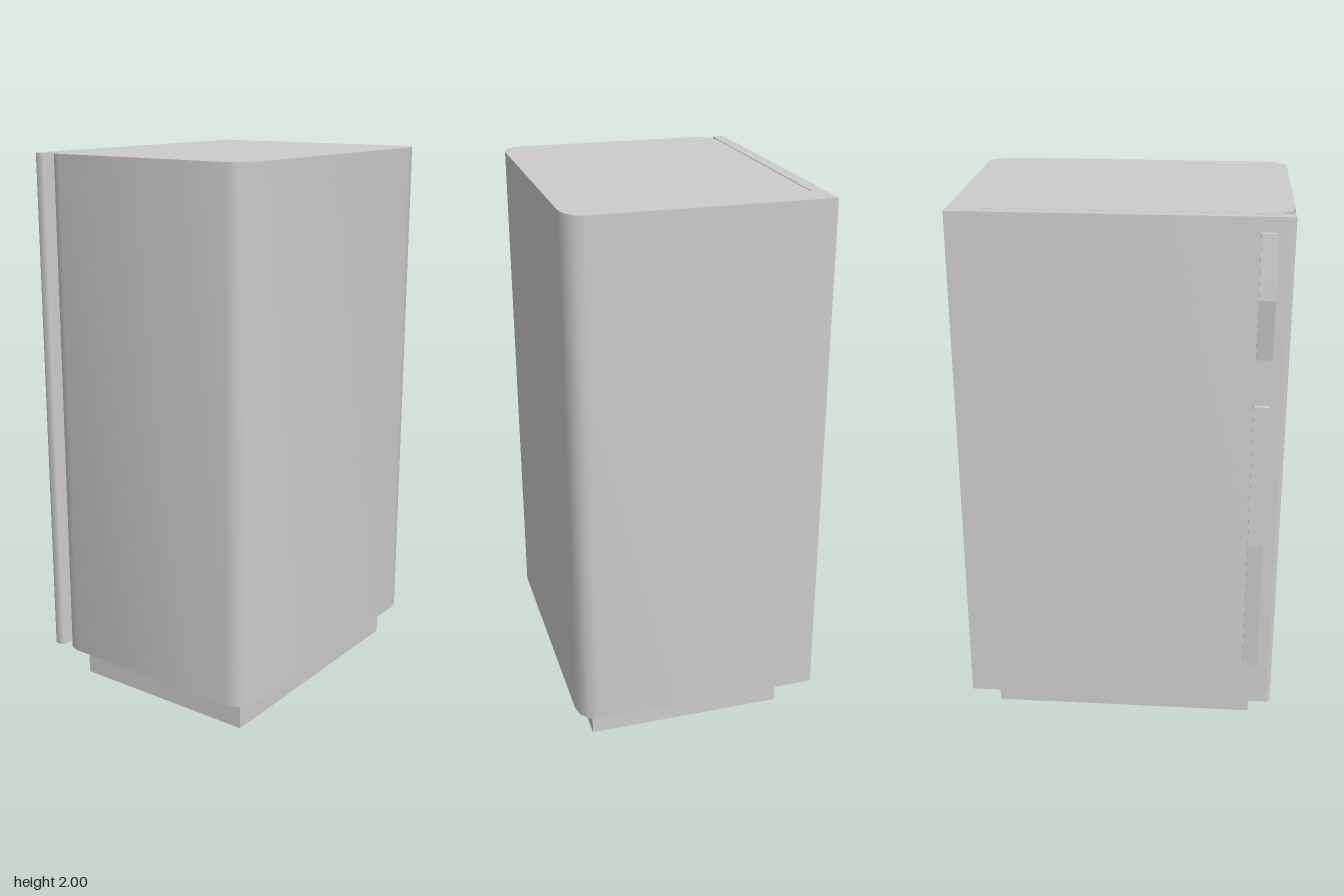
import * as THREE from 'three';
import { toCreasedNormals } from 'three/addons/utils/BufferGeometryUtils.js';

const material = new THREE.MeshStandardMaterial({ color: 0xcccccc });

// Upright prism from a floor plan given as [x, z] points.
function prism(name, plan, y0, y1) {
  const shape = new THREE.Shape(plan.map(([x, z]) => new THREE.Vector2(x, -z)));
  const geometry = new THREE.ExtrudeGeometry(shape, { depth: y1 - y0, bevelEnabled: false });
  geometry.rotateX(-Math.PI / 2).translate(0, y0, 0);
  const mesh = new THREE.Mesh(toCreasedNormals(geometry, 0.6), material);
  mesh.name = name;
  return mesh;
}

// Points of a quarter ellipse corner, from angle a0 to a0 + 90 degrees.
function corner(cx, cz, rx, rz, a0, steps = 3) {
  return Array.from({ length: steps + 1 }, (_, i) => {
    const a = a0 + (i / steps) * Math.PI / 2;
    return [cx + rx * Math.cos(a), cz + rz * Math.sin(a)];
  });
}

// Bent handle bar with a tapered mount at each end.
function handle(name, y0, y1, mountLength) {
  const group = new THREE.Group();
  group.name = name;
  const mid = (y0 + y1) / 2;
  const profile = new THREE.Shape([
    [-0.436, y0], [-0.467, mid], [-0.436, y1],
    [-0.451, y1], [-0.478, mid], [-0.451, y0],
  ].map(([x, y]) => new THREE.Vector2(x, y)));
  const geometry = new THREE.ExtrudeGeometry(profile, { depth: 0.055, bevelEnabled: false });
  geometry.translate(0, 0, 0.46);
  const bar = new THREE.Mesh(geometry, material);
  bar.name = name + 'Bar';
  group.add(bar);
  const plan = [[-0.43, 0.473], [-0.43, 0.502], [-0.445, 0.513], [-0.445, 0.462]];
  group.add(
    prism('lowerMount', plan, y0, y0 + mountLength),
    prism('upperMount', plan, y1 - mountLength, y1),
  );
  return group;
}

export function createModel() {
  const model = new THREE.Group();
  model.name = 'refrigerator';
  const H = Math.PI / 2;

  // Cabinet: rounded corners, with a recess along the side that holds the door
  const cabinet = prism('cabinet', [
    [-0.43, -0.576], ...corner(0.405, -0.486, 0.07, 0.09, -H),
    ...corner(0.405, 0.482, 0.07, 0.09, 0),
    ...corner(-0.31, 0.482, 0.07, 0.09, H),
    [-0.38, -0.462], [-0.43, -0.462],
  ], 0.125, 2);

  // Door: thin slab with a softened leading edge
  const r = 0.016;
  const door = prism('door', [
    [-0.43, -0.462], [-0.384, -0.462],
    ...corner(-0.384 - r, 0.572 - r, r, r, 0),
    ...corner(-0.43 + r, 0.572 - r, r, r, H),
  ], 0.125, 2);

  // Plinth set back under the cabinet
  const plinth = new THREE.Mesh(new THREE.BoxGeometry(0.73, 0.125, 0.985), material);
  plinth.name = 'plinth';
  plinth.position.set(0.045, 0.0625, 0.002);

  model.add(cabinet, door, plinth);
  model.add(handle('upperHandle', 1.52, 1.95, 0.05));
  model.add(handle('lowerHandle', 0.305, 1.35, 0.15));
  return model;
}
